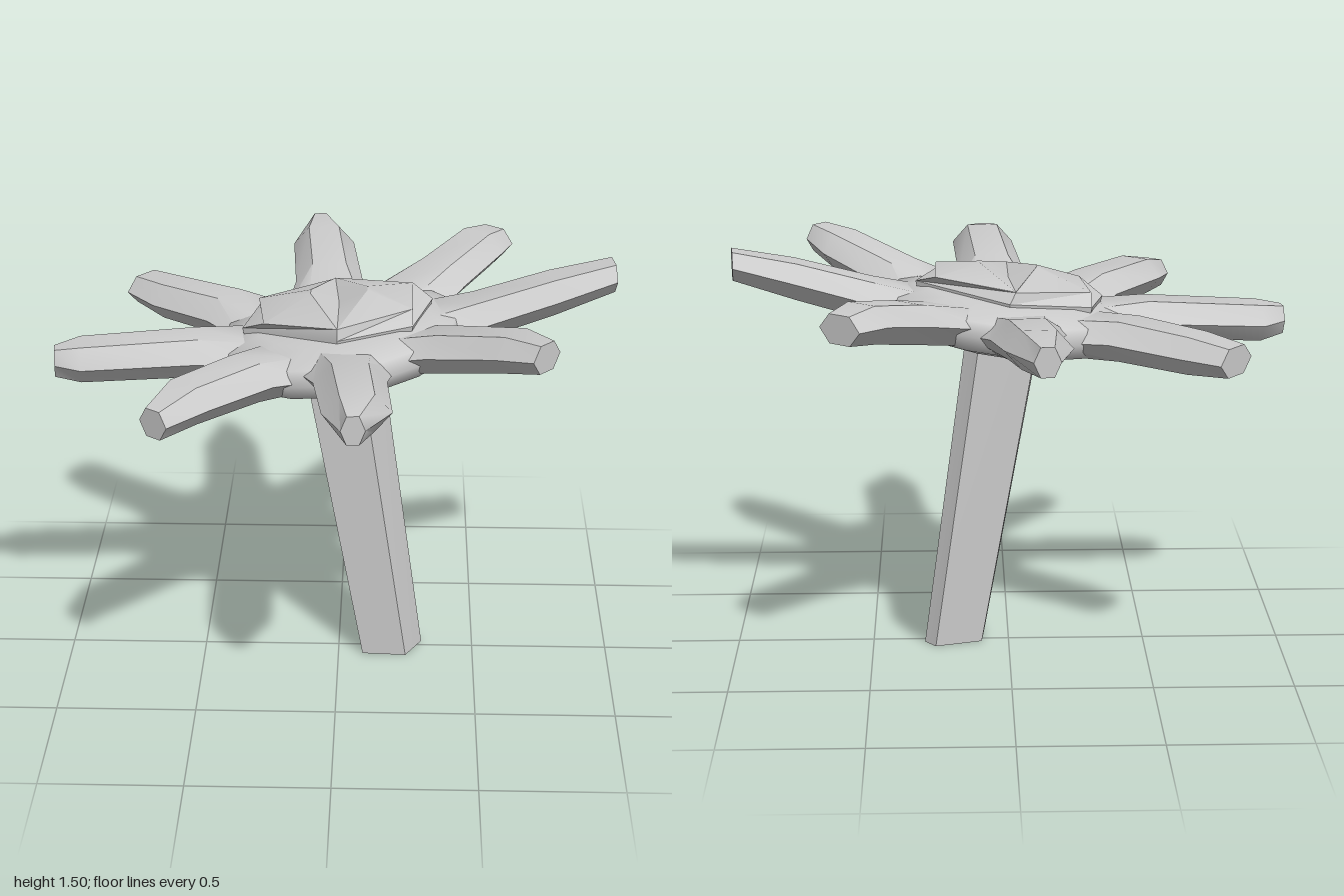
import * as THREE from 'three';
import { toCreasedNormals } from 'three/addons/utils/BufferGeometryUtils.js';

const material = new THREE.MeshStandardMaterial({ color: 0xcccccc });
const V = (x, y, z) => new THREE.Vector3(x, y, z);

// Closed skin over rings of points (counter-clockwise about the direction of travel).
function loft(name, rings, crease, endCentre) {
  const n = rings[0].length, index = [];
  const centre = (ring) => ring.reduce((sum, p) => sum.add(p), V(0, 0, 0)).divideScalar(n);
  const points = [...rings.flat(), centre(rings[0]), endCentre ?? centre(rings.at(-1))];
  const last = (rings.length - 1) * n, start = rings.length * n;
  for (let j = 0; j < n; j++) {
    const k = (j + 1) % n;
    for (let i = 0; i < last; i += n) {
      index.push(i + j, i + k, i + n + k, i + j, i + n + k, i + n + j);
    }
    index.push(start, k, j, start + 1, last + j, last + k);
  }
  const geometry = new THREE.BufferGeometry().setFromPoints(points);
  geometry.setIndex(index);
  const mesh = new THREE.Mesh(toCreasedNormals(geometry, crease), material);
  mesh.name = name;
  return mesh;
}

// Ring around the vertical axis, leaning up toward +x.
function leaningRing(radius, y, sides) {
  return Array.from({ length: sides }, (_, i) => {
    const a = (i / sides) * Math.PI * 2, x = Math.sin(a) * radius;
    return V(x, y + 0.12 * x, Math.cos(a) * radius);
  });
}

// Six-sided petal; each station is [x, y, z, width, height].
function petal(stations) {
  const [a, b] = [stations[0], stations.at(-1)];
  const forward = V(b[0] - a[0], 0, b[2] - a[2]).normalize();
  const side = V(0, 1, 0).cross(forward);
  const rings = stations.map(([x, y, z, w, h]) =>
    Array.from({ length: 6 }, (_, i) => {
      const t = (i * Math.PI) / 3;
      return V(x, y + (Math.sin(t) / 0.866) * h / 2, z).addScaledVector(side, Math.cos(t) * w / 2);
    }));
  return loft('petal', rings, 0.8);
}

// Middle, shoulder and tip centres of each petal, with tip width.
const PETALS = [
  { mid: [-0.05, 1.27, -0.5], shoulder: [-0.08, 1.31, -0.81], tip: [-0.1, 1.315, -1.0], w: 0.09 },
  { mid: [0.35, 1.31, -0.42], shoulder: [0.5, 1.36, -0.63], tip: [0.57, 1.36, -0.73], w: 0.17 },
  { mid: [0.48, 1.31, -0.05], shoulder: [0.75, 1.39, -0.08], tip: [0.97, 1.45, -0.11], w: 0.17 },
  { mid: [0.38, 1.31, 0.27], shoulder: [0.6, 1.385, 0.46], tip: [0.7, 1.41, 0.58], w: 0.14 },
  { mid: [0.05, 1.28, 0.5], shoulder: [0.08, 1.33, 0.87], tip: [0.07, 1.325, 1.0], w: 0.08 },
  { mid: [-0.31, 1.24, 0.38], shoulder: [-0.5, 1.25, 0.61], tip: [-0.59, 1.23, 0.75], w: 0.12 },
  { mid: [-0.5, 1.21, 0.07], shoulder: [-0.91, 1.19, 0.1], tip: [-1.0, 1.19, 0.12], w: 0.1 },
  { mid: [-0.41, 1.22, -0.3], shoulder: [-0.63, 1.21, -0.47], tip: [-0.75, 1.21, -0.59], w: 0.19 },
];

export function createModel() {
  const model = new THREE.Group();

  // Leaning stem with five uneven sides
  const foot = [[0.09, 0.07], [0.25, 0.08], [0.31, -0.03], [0.27, -0.08], [0.1, -0.03]];
  model.add(loft('stem', [
    foot.map(([x, z]) => V(x, 0, z)),
    foot.map(([x, z]) => V((x - 0.2) * 1.25 + 0.01, 1.2, z * 0.95 + 0.02)),
  ], 0.7));

  // Rounded disc joining the petals
  const profile = [[0.15, 1.135], [0.3, 1.15], [0.4, 1.18], [0.445, 1.24], [0.42, 1.29], [0.3, 1.325]];
  model.add(loft('disc', profile.map(([r, y]) => leaningRing(r, y, 16)), 1.2));

  // Petals, flared where they leave the disc
  const petals = new THREE.Group();
  petals.name = 'petals';
  for (const { mid, shoulder, tip, w } of PETALS) {
    const rootScale = 0.28 / Math.hypot(mid[0], mid[2]);
    const x = mid[0] * rootScale, z = mid[2] * rootScale;
    petals.add(petal([
      [x, 1.235 + 0.12 * x, z, 0.36, 0.13],
      [...mid, 0.25, 0.14],
      [...shoulder, 0.23, 0.13],
      [...tip, w, 0.1],
    ]));
  }
  model.add(petals);

  // Raised faceted heart with a shallow groove from front to back
  const rim = [[0, 0.27], [0.26, 0.2], [0.33, -0.05], [0, -0.27], [-0.29, -0.17], [-0.34, 0.05]];
  const edge = [[0, 0.26], [0.26, 0.13], [0.26, -0.13], [-0.02, -0.25], [-0.29, -0.12], [-0.26, 0.14]];
  const ridge = [[0, 1.375, 0.26], [0.1, 1.43, 0.02], [0.1, 1.43, -0.02],
    [-0.02, 1.375, -0.25], [-0.1, 1.415, -0.02], [-0.1, 1.415, 0.02]];
  model.add(loft('heart', [
    rim.map(([x, z]) => V(x * 0.95, 1.26 + 0.12 * x, z * 0.95)),
    rim.map(([x, z]) => V(x, 1.335 + 0.12 * x, z)),
    edge.map(([x, z]) => V(x, 1.375 + 0.11 * x, z)),
    ridge.map((p) => V(...p)),
  ], 0.4, V(0, 1.375, 0)));

  return model;
}
